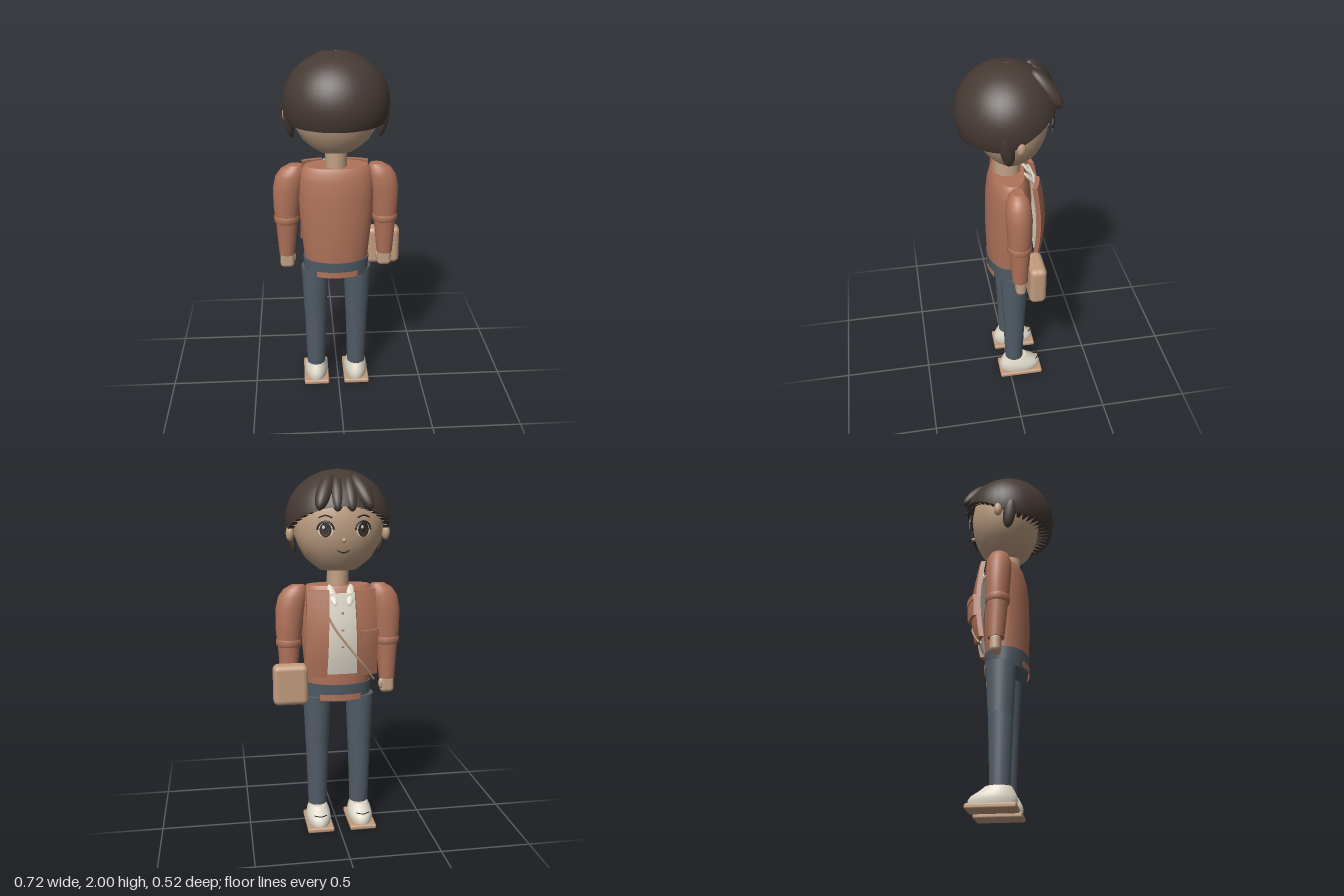
import * as THREE from 'three';
import { RoundedBoxGeometry } from 'three/addons/geometries/RoundedBoxGeometry.js';

const mat = (name, color, side = THREE.FrontSide) => {
  const m = new THREE.MeshStandardMaterial({ color, side });
  m.name = name;
  return m;
};

// Smooth body through elliptical rings [y, cx, cz, rx, rz], listed from the bottom up, with flat caps.
function loft(rings, seg = 24) {
  const pos = [], idx = [];
  const ring = ([y, cx, cz, rx, rz]) => {
    for (let j = 0; j < seg; j++) {
      const a = (j / seg) * Math.PI * 2;
      pos.push(cx + rx * Math.sin(a), y, cz + rz * Math.cos(a));
    }
  };
  rings.forEach(ring);
  for (let i = 0; i < rings.length - 1; i++)
    for (let j = 0; j < seg; j++) {
      const k = (j + 1) % seg, a = i * seg + j, b = i * seg + k;
      idx.push(a, b, b + seg, a, b + seg, a + seg);
    }
  [rings[0], rings[rings.length - 1]].forEach((r, top) => {
    const base = pos.length / 3;
    ring(r);
    pos.push(r[1], r[0], r[2]);
    for (let j = 0; j < seg; j++) {
      const a = base + j, b = base + ((j + 1) % seg);
      idx.push(base + seg, top ? a : b, top ? b : a);
    }
  });
  const g = new THREE.BufferGeometry();
  g.setAttribute('position', new THREE.Float32BufferAttribute(pos, 3));
  g.setIndex(idx);
  g.computeVertexNormals();
  return g;
}

// Depth of the bulging chest at a point of the front.
const chest = (x, y, off = 0) =>
  -(0.135 + off + 0.04 * Math.sin(Math.PI * Math.min(1, Math.max(0, (y - 0.85) / 0.53)))) * Math.sqrt(1 - (x / 0.28) ** 2);

// Slab bent over the chest; its inner edge follows slant at the top.
function chestSlab(w, h, d, x, y, off, slant = 0) {
  const g = new THREE.BoxGeometry(w, h, d, 6, 10, 1), p = g.attributes.position;
  for (let i = 0; i < p.count; i++) {
    const py = p.getY(i) + y, px = p.getX(i) + x - slant * (p.getY(i) / h + 0.5);
    p.setXYZ(i, px, py, p.getZ(i) + chest(px, py, off));
  }
  g.computeVertexNormals();
  return g;
}

// Bowl of hair with a hairline that climbs towards the face.
function hairDome() {
  const rows = 20, g = new THREE.SphereGeometry(1, 40, rows);
  const { position: p, normal: n, uv } = g.attributes;
  for (let i = 0; i < p.count; i++) {
    const row = Math.round((1 - uv.getY(i)) * rows), a = uv.getX(i) * Math.PI * 2;
    const c = Math.sin(a), s = -Math.cos(a);
    const edge = 1.645 + Math.max(0, 0.15 - c) * 0.15;
    const t = Math.acos((edge - 1.74) / 0.26) * Math.min(1, row / (rows - 2));
    const r = Math.sin(t) * (row === rows ? 0.72 : 1);
    p.setXYZ(i, 0.28 * r * s, 1.74 + 0.26 * Math.cos(t), 0.265 * r * c);
    const v = row > rows - 2 ? new THREE.Vector3(0, -1, 0)
      : new THREE.Vector3(r * s / 0.28, Math.cos(t) / 0.26, r * c / 0.265).normalize();
    n.setXYZ(i, v.x, v.y, v.z);
  }
  return g;
}

export function createModel() {
  const model = new THREE.Group();
  model.name = 'student';
  const body = new THREE.Group();
  body.name = 'body';
  body.position.x = -0.012;
  model.add(body);

  const skin = mat('skin', 0xc2a285), hair = mat('hair', 0x463a34, THREE.DoubleSide);
  const jacket = mat('jacket', 0xb0735a, THREE.DoubleSide), denim = mat('denim', 0x525d67);
  const cream = mat('cream', 0xded7c8), tan = mat('tan', 0xc29c7e), dark = mat('dark', 0x2c2523, THREE.DoubleSide);

  const add = (name, geo, material, parent = body, x = 0, y = 0, z = 0) => {
    const m = new THREE.Mesh(geo, material);
    m.name = name;
    m.position.set(x, y, z);
    parent.add(m);
    return m;
  };
  const ball = new THREE.SphereGeometry(1, 20, 14);
  const blob = (name, material, x, y, z, sx, sy, sz, parent = body) => {
    const m = add(name, ball, material, parent, x, y, z);
    m.scale.set(sx, sy, sz);
    return m;
  };
  // Ellipsoid stretched between two points.
  const tuft = (name, material, from, to, rx, rz) => {
    const a = new THREE.Vector3(...from), b = new THREE.Vector3(...to), d = b.clone().sub(a);
    const c = a.clone().add(b).multiplyScalar(0.5);
    const m = blob(name, material, c.x, c.y, c.z, rx, d.length() / 2, rz);
    m.quaternion.setFromUnitVectors(new THREE.Vector3(0, -1, 0), d.normalize());
    return m;
  };
  const tube = (name, pts, r, material, parent = body) =>
    add(name, new THREE.TubeGeometry(new THREE.CatmullRomCurve3(pts.map(p => new THREE.Vector3(...p))), 20, r, 6), material, parent);

  // Head and neck
  const headProfile = [[1.475, 0.1], [1.5, 0.135], [1.54, 0.18], [1.6, 0.215], [1.66, 0.237], [1.74, 0.246],
    [1.82, 0.232], [1.88, 0.2], [1.93, 0.14], [1.955, 0.05]];
  add('head', loft(headProfile.map(([y, r]) => [y, 0, -0.02, r, r * 0.8]), 28), skin);
  add('neck', loft([[1.36, 0, -0.005, 0.06, 0.07], [1.5, 0, -0.005, 0.058, 0.07]]), skin);
  blob('nose', skin, 0, 1.645, -0.212, 0.011, 0.012, 0.014);
  tube('mouth', [[-0.032, 1.592, -0.192], [0, 1.58, -0.196], [0.032, 1.592, -0.192]], 0.0035, dark);

  // Hair
  add('hair', hairDome(), hair);
  blob('crown', tan, 0, 1.996, 0, 0.006, 0.005, 0.006);
  for (const s of [-1, 1]) {
    tuft('outerFringe', hair, [s * 0.055, 1.975, -0.115], [s * 0.135, 1.805, -0.25], 0.042, 0.042);
    tuft('innerFringe', hair, [s * 0.03, 1.965, -0.13], [s * 0.038, 1.795, -0.25], 0.037, 0.036);
    tuft('sideLock', hair, [s * 0.265, 1.74, 0.05], [s * 0.232, 1.56, 0.022], 0.022, 0.036);
    blob('ear', skin, s * 0.26, 1.67, -0.028, 0.022, 0.042, 0.024);

    // Eye with lash and brow, built as thin plates
    const eye = new THREE.Group();
    eye.name = 'eye';
    eye.position.set(s * 0.097, 1.7, -0.222);
    eye.rotation.y = Math.PI - s * 0.3;
    body.add(eye);
    const disc = (name, m, x, y, z, rx, ry) =>
      add(name, new THREE.CircleGeometry(1, 24), m, eye, x, y, z).scale.set(rx, ry, 1);
    disc('eyeWhite', cream, 0, 0, 0, 0.04, 0.038);
    disc('iris', dark, 0, 0, 0.003, 0.031, 0.037);
    disc('irisRing', hair, 0, -0.008, 0.005, 0.02, 0.022);
    disc('pupil', dark, 0, -0.003, 0.007, 0.013, 0.017);
    disc('highlight', cream, -0.01, 0.015, 0.009, 0.008, 0.009);
    add('lash', new THREE.TorusGeometry(0.042, 0.005, 6, 18, Math.PI), dark, eye);
    tube('brow', [[-0.035, 0.062, 0.004], [0, 0.073, 0.006], [0.035, 0.062, 0.004]], 0.004, dark, eye);
  }

  // Jacket, shirt and hips
  add('jacketBody', loft([[0.8, 0, -0.01, 0.172, 0.112], [0.86, 0, -0.01, 0.18, 0.12], [1.05, 0, -0.01, 0.198, 0.125],
    [1.22, 0, -0.01, 0.208, 0.123], [1.32, 0, -0.01, 0.206, 0.112], [1.37, 0, -0.01, 0.192, 0.098], [1.392, 0, -0.01, 0.172, 0.085]], 32), jacket);
  add('hips', loft([[0.752, 0, -0.01, 0.18, 0.113], [0.85, 0, -0.01, 0.187, 0.123]], 32), denim);
  for (const back of [0, 1]) {
    const hem = add('hem', new THREE.CylinderGeometry(1, 1, 0.035, 12, 1, true, -0.65 + back * Math.PI, 1.3), jacket, body, 0, 0.776, -0.01);
    hem.scale.set(0.189, 1, 0.123);
  }
  add('shirt', chestSlab(0.18, 0.44, 0.012, 0, 1.14, 0.002), cream);
  for (const y of [1.08, 1.17, 1.26]) blob('button', tan, 0, y, chest(0, y, 0.01), 0.008, 0.008, 0.005);
  for (const s of [-1, 1]) {
    add('frontPanel', chestSlab(0.115, 0.47, 0.026, s * 0.142, 1.145, 0.022, s * 0.015), jacket);
    tuft('collar', cream, [s * 0.06, 1.4, -0.085], [s * 0.036, 1.3, -0.175], 0.022, 0.012);
  }
  add('pocket', chestSlab(0.1, 0.12, 0.016, -0.145, 1.1, 0.05), jacket);
  add('pocketFlap', chestSlab(0.106, 0.035, 0.02, -0.145, 1.15, 0.054), jacket);
  const strap = [[0.12, 1.34], [0.05, 1.19], [-0.03, 1.08], [-0.1, 0.99], [-0.18, 0.88]];
  tube('strap', strap.map(([x, y]) => [x, y, chest(x, y, x < -0.08 || x > 0.08 ? 0.036 : 0.014)]), 0.007, tan);

  for (const s of [-1, 1]) {
    // Arm
    add('sleeve', loft([[1.07, s * 0.274, -0.024, 0.064, 0.06], [1.15, s * 0.272, -0.024, 0.073, 0.066],
      [1.26, s * 0.264, -0.022, 0.081, 0.07], [1.33, s * 0.25, -0.02, 0.079, 0.066], [1.37, s * 0.236, -0.02, 0.064, 0.052],
      [1.393, s * 0.222, -0.02, 0.038, 0.032]]), jacket);
    add('cuff', loft([[1.055, s * 0.274, -0.024, 0.06, 0.056], [1.064, s * 0.274, -0.024, 0.07, 0.066],
      [1.092, s * 0.274, -0.024, 0.071, 0.067], [1.104, s * 0.274, -0.024, 0.062, 0.058]]), jacket);
    add('forearm', loft([[0.855, s * 0.278, -0.03, 0.044, 0.043], [1.07, s * 0.274, -0.025, 0.062, 0.058]]), jacket);
    add('hand', new RoundedBoxGeometry(0.08, 0.1, 0.056, 3, 0.024), skin, body, s * 0.278, 0.82, -0.032);
    blob('thumb', skin, s * 0.244, 0.825, -0.042, 0.016, 0.032, 0.018);

    // Leg in two tapered halves
    const x = s * 0.121;
    add('thigh', loft([[0.487, x, -0.026, 0.066, 0.068], [0.775, x, -0.026, 0.078, 0.083]]), denim);
    add('shin', loft([[0.12, x, -0.028, 0.053, 0.053], [0.49, x, -0.026, 0.065, 0.067]]), denim);

    // Shoe
    add('sole', new RoundedBoxGeometry(0.15, 0.028, 0.258, 2, 0.01), tan, body, x, 0.014, -0.066);
    add('shoe', loft([[0.026, x, -0.064, 0.066, 0.122], [0.05, x, -0.064, 0.071, 0.126], [0.072, x, -0.058, 0.068, 0.115],
      [0.095, x, -0.044, 0.061, 0.09], [0.118, x, -0.036, 0.05, 0.068]]), cream);
    tube('lace', [[x - 0.035, 0.09, -0.16], [x, 0.094, -0.185], [x + 0.035, 0.09, -0.16]], 0.003, dark);
  }

  // Bag carried at the side
  add('bag', new RoundedBoxGeometry(0.19, 0.225, 0.092, 4, 0.03), tan, model, 0.265, 0.863, -0.114);
  return model;
}
